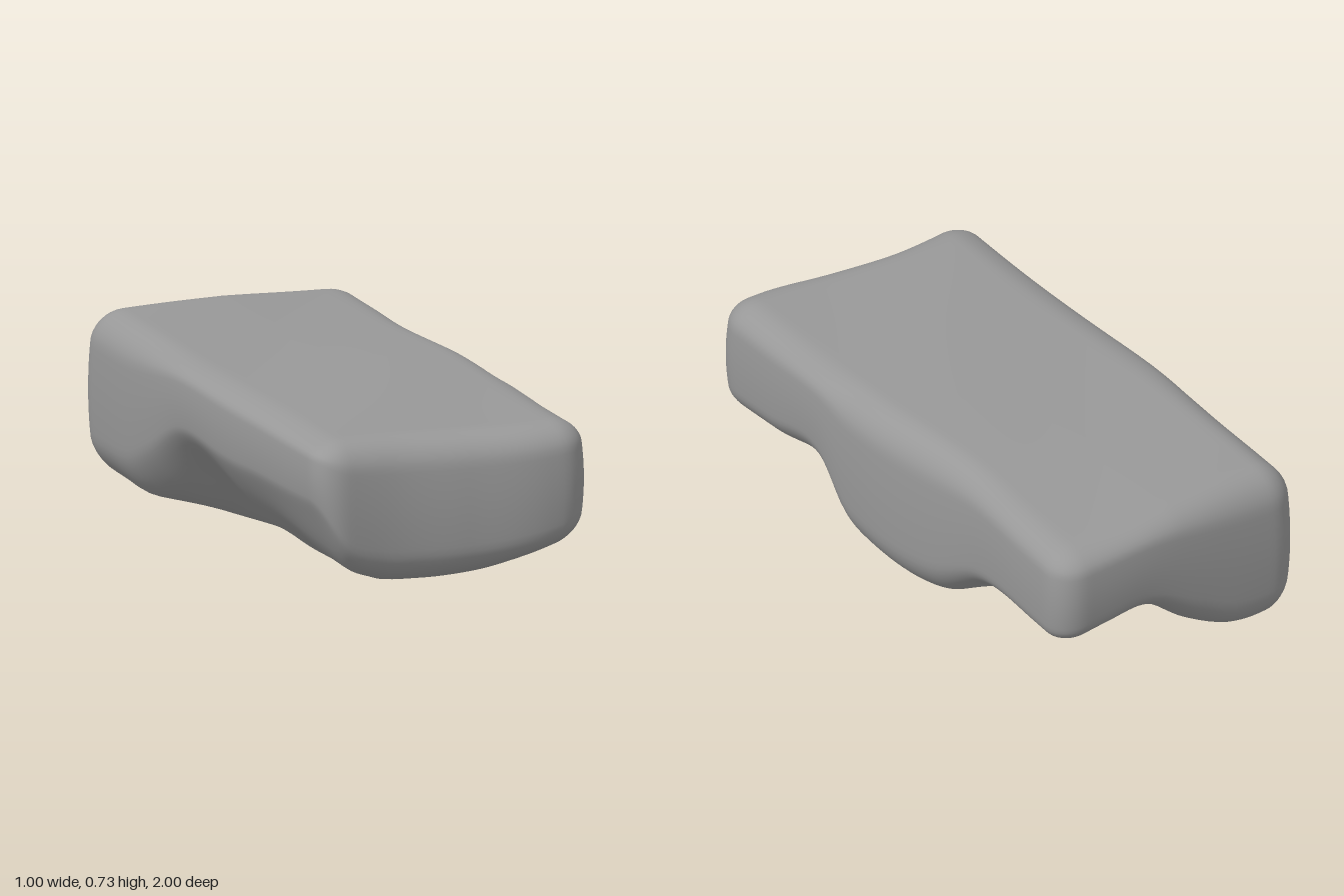
import * as THREE from 'three';
import { mergeVertices } from 'three/addons/utils/BufferGeometryUtils.js';

// Underside heights: rows run from back to front, columns from -x to +x
const ZS = [-1, -0.8, -0.6, -0.45, -0.2, 0.15, 0.25, 0.4, 0.7, 1];
const XS = [-0.5, -0.4, -0.25, -0.1, 0.12, 0.3, 0.5];
const UNDERSIDE = [
  0.18, 0.15, 0.16, 0.24, 0.37, 0.36, 0.33,
  0.18, 0.15, 0.15, 0.20, 0.36, 0.36, 0.33,
  0.20, 0.15, 0.12, 0.14, 0.29, 0.35, 0.33,
  0.28, 0.21, 0.13, 0.09, 0.17, 0.28, 0.30,
  0.44, 0.37, 0.23, 0.10, 0.08, 0.12, 0.17,
  0.44, 0.33, 0.20, 0.10, 0.00, 0.10, 0.17,
  0.44, 0.33, 0.20, 0.12, 0.03, 0.12, 0.20,
  0.45, 0.33, 0.21, 0.14, 0.11, 0.24, 0.36,
  0.46, 0.31, 0.21, 0.18, 0.19, 0.26, 0.33,
  0.48, 0.30, 0.23, 0.22, 0.23, 0.26, 0.31,
];

const smooth = (xs, values, size = 1) => new THREE.CubicInterpolant(xs, values, size, new Float32Array(size));
const rowAt = smooth(ZS, UNDERSIDE, XS.length);
const underside = (x, z) => smooth(XS, rowAt.evaluate(z)).evaluate(x)[0];

// Wavy outline seen from above
const EDGE_Z = [-1, -0.7, -0.4, 0.1, 0.5, 1];
const leftEdge = smooth(EDGE_Z, [0.492, 0.5, 0.5, 0.49, 0.48, 0.482]);
const rightEdge = smooth(EDGE_Z, [0.49, 0.472, 0.455, 0.5, 0.492, 0.49]);
const frontEdge = smooth([-0.5, -0.2, 0.05, 0.3, 0.5], [0.945, 0.935, 0.965, 1, 0.99]);

// Nearly flat top with shallow swells, drooping at the back right corner
const topHeight = (x, z) => 0.717 + 0.008 * Math.sin(4 * z + 3 * x + 1) * Math.cos(3 * x - 0.6)
  - 0.05 * Math.max(0, x) * Math.max(0, -z);

function createSlab() {
  const R = 0.11, half = new THREE.Vector3(0.5, 0.27, 1);
  let geo = new THREE.BoxGeometry(1, 0.54, 2, 44, 22, 80);
  geo.deleteAttribute('uv');
  geo.deleteAttribute('normal');
  geo = mergeVertices(geo, 1e-4);

  const inner = half.clone().subScalar(R), p = new THREE.Vector3(), core = new THREE.Vector3();
  const pos = geo.attributes.position;
  for (let i = 0; i < pos.count; i++) {
    // Round the edges of the block
    p.fromBufferAttribute(pos, i);
    core.copy(p).clamp(inner.clone().negate(), inner);
    p.sub(core).setLength(R).add(core);
    // Stretch between top and underside, then bend the outline and swell the walls
    const s = p.y / half.y;
    const y = THREE.MathUtils.lerp(underside(p.x, p.z), topHeight(p.x, p.z), (s + 1) / 2);
    const x = p.x * 2 * (p.x < 0 ? leftEdge : rightEdge).evaluate(p.z)[0] * (1 - 0.03 * s * s);
    const z = p.z * (p.z > 0 ? frontEdge.evaluate(p.x)[0] : 0.998) * (1 - 0.02 * s * s);
    pos.setXYZ(i, x, y, z);
  }
  geo.computeVertexNormals();
  return geo;
}

export function createModel() {
  const group = new THREE.Group();
  group.name = 'rockPlatform';
  const slab = new THREE.Mesh(createSlab(), new THREE.MeshStandardMaterial({ color: 0x989898 }));
  slab.name = 'rockSlab';
  group.add(slab);
  return group;
}
